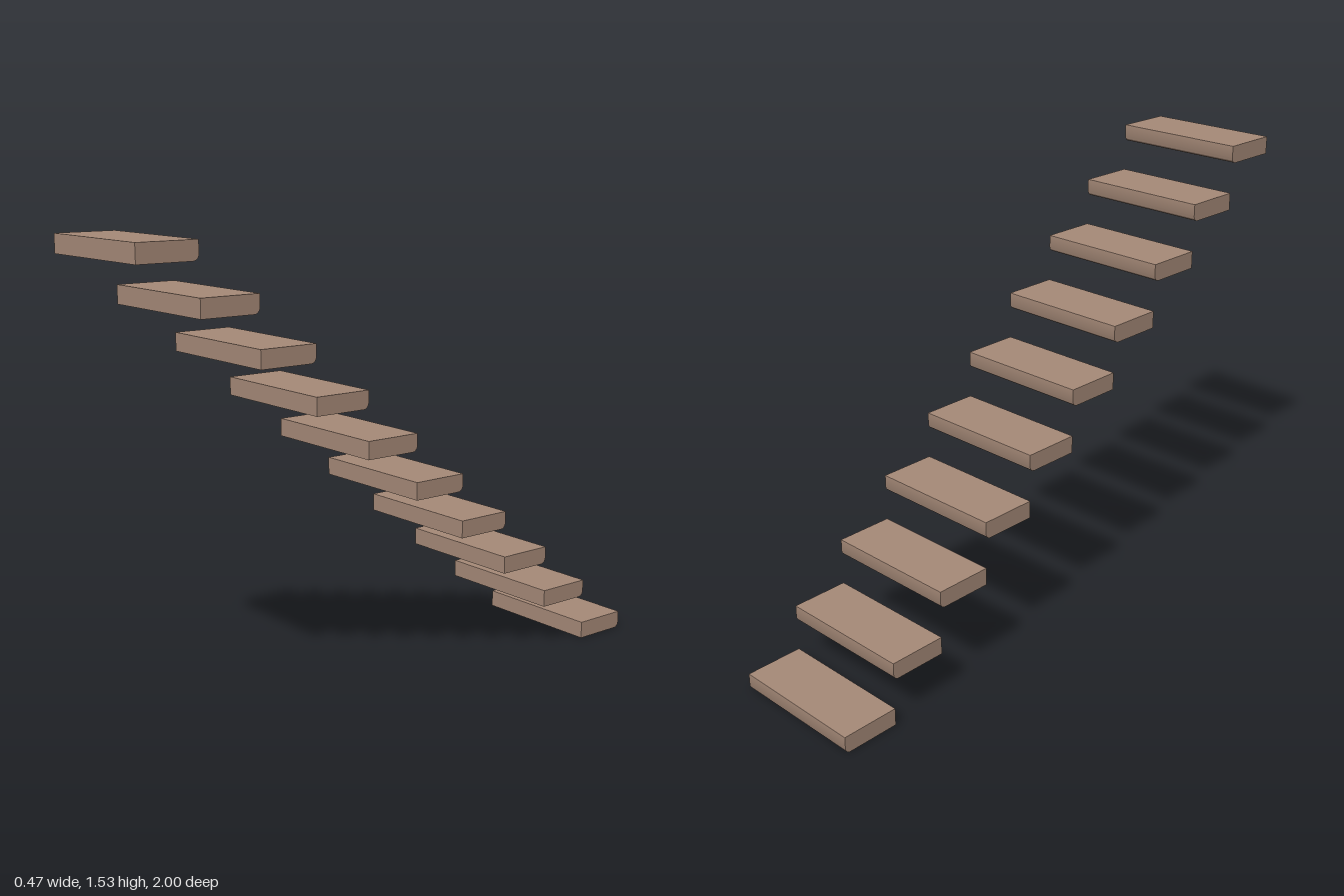
import * as THREE from 'three';
import { toCreasedNormals } from 'three/addons/utils/BufferGeometryUtils.js';

const COUNT = 10;
const WIDTH = 0.474, DEPTH = 0.2, THICK = 0.06, RISE = 0.163, RADIUS = 0.02;

// Side profile of a tread: x runs along the flight, lower rear edge rounded
function treadGeometry() {
  const s = new THREE.Shape();
  s.moveTo(RADIUS, 0);
  s.lineTo(DEPTH, 0);
  s.lineTo(DEPTH, THICK);
  s.lineTo(0, THICK);
  s.lineTo(0, RADIUS);
  s.absarc(RADIUS, RADIUS, RADIUS, Math.PI, Math.PI * 1.5, false);
  const g = new THREE.ExtrudeGeometry(s, { depth: WIDTH, bevelEnabled: false, curveSegments: 8 });
  g.translate(0, 0, -WIDTH / 2);
  g.rotateY(-Math.PI / 2);
  return toCreasedNormals(g, Math.PI / 6);
}

export function createModel() {
  const group = new THREE.Group();
  group.name = 'floatingStaircase';
  const wood = new THREE.MeshStandardMaterial({ color: 0xa68a78 });
  wood.name = 'brownWood';

  // Floating treads, climbing towards the front
  const geometry = treadGeometry();
  for (let i = 0; i < COUNT; i++) {
    const tread = new THREE.Mesh(geometry, wood);
    tread.name = `tread${i + 1}`;
    tread.position.set(0, i * RISE, -1 + i * DEPTH);
    group.add(tread);
  }
  return group;
}
